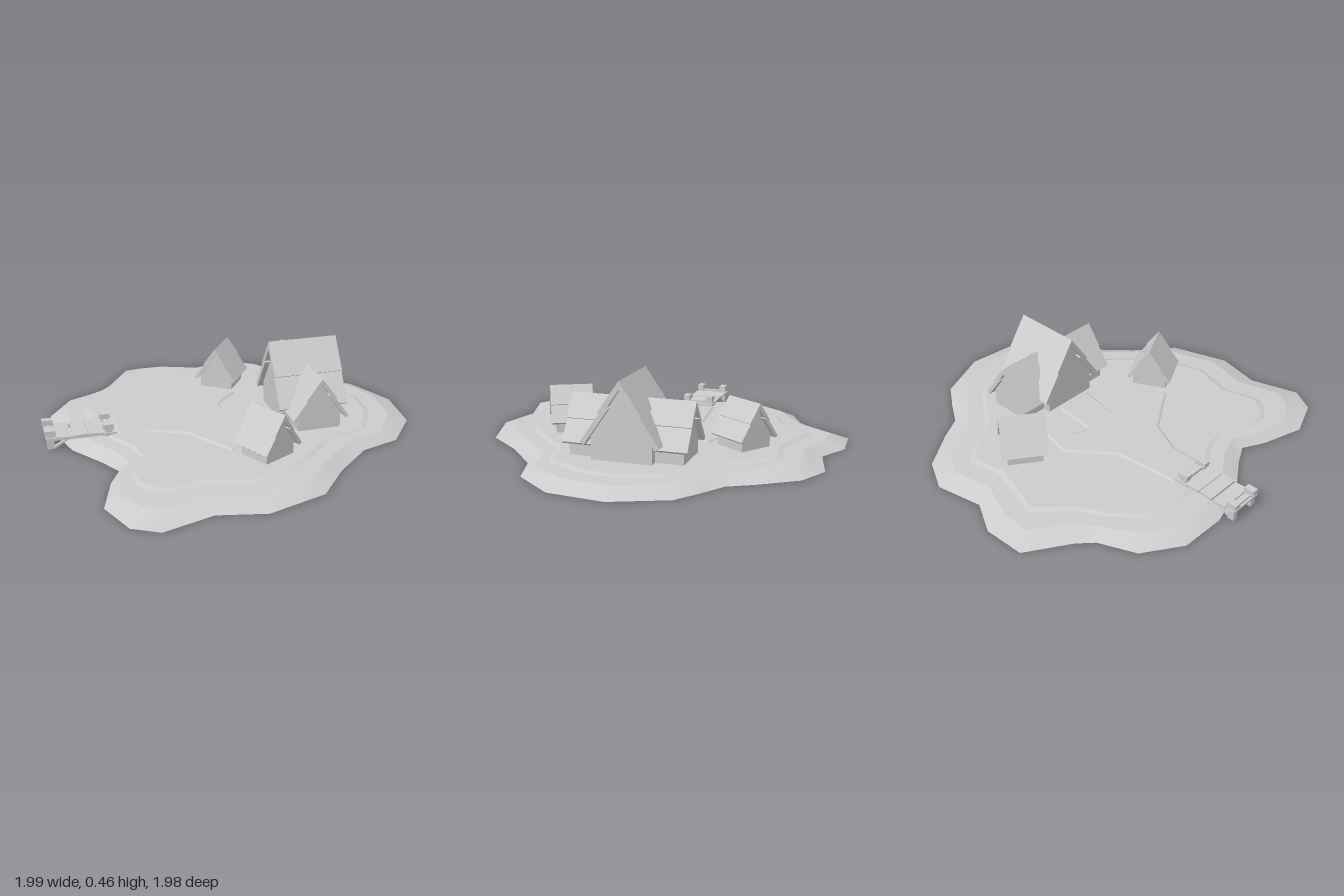
import * as THREE from 'three';

// Shoreline points paired with the foot of the inner terrace: [x, z, innerX, innerZ]
const SHORE = [
  [-.39, -.98, -.25, -.80], [-.17, -.99, -.16, -.77], [0, -.90, .06, -.71], [.25, -.955, .24, -.75],
  [.42, -.87, .30, -.70], [.555, -.675, .39, -.57], [.625, -.55, .46, -.47], [.745, -.475, .56, -.40],
  [.88, -.38, .72, -.27], [1, -.10, .79, -.06], [.97, .20, .77, .13], [.80, .415, .66, .33],
  [.59, .48, .44, .385], [.39, .66, .30, .53], [.225, .86, .14, .67], [-.085, .96, -.09, .74],
  [-.33, .905, -.30, .68], [-.59, .985, -.50, .73], [-.72, .91, -.57, .69], [-.80, .705, -.63, .61],
  [-.73, .475, -.63, .46], [-.67, .36, -.55, .33], [-.73, .25, -.58, .20], [-.86, .06, -.68, .04],
  [-.925, -.16, -.73, -.16], [-.92, -.405, -.74, -.36], [-.79, -.60, -.66, -.46], [-.60, -.685, -.54, -.56],
  [-.53, -.76, -.42, -.62],
];

const PATH = [
  [-.62, -.15], [-.27, -.19], [-.05, -.37], [.13, -.33], [0, -.19], [0, -.14], [.23, -.12], [.23, .095],
  [-.09, .04], [.08, .30], [-.10, .40], [-.27, .14], [-.45, .06], [-.62, .06],
];

const shapeOf = (pts) => new THREE.Shape(pts.map(([x, y]) => new THREE.Vector2(x, y)));

export function createModel() {
  const model = new THREE.Group();
  model.name = 'islandVillage';
  const stone = new THREE.MeshStandardMaterial({ color: 0xcccccc });
  stone.name = 'light grey';

  const add = (parent, name, geometry, x = 0, y = 0, z = 0) => {
    const mesh = new THREE.Mesh(geometry, stone);
    mesh.name = name;
    mesh.position.set(x, y, z);
    parent.add(mesh);
    return mesh;
  };

  // Island: sloping bank, flat shore, terrace step, plateau and underside
  const island = new THREE.Group();
  island.name = 'island';
  model.add(island);
  const ring = (t) => SHORE.map(([x, z, ix, iz]) => [x + (ix - x) * t, z + (iz - z) * t]);
  const levels = [[0, 0], [.5, .04], [1, .043], [1.13, .052]];
  const names = ['bank', 'shore', 'terraceStep'];
  const n = SHORE.length;
  for (let k = 0; k < 3; k++) {
    const pos = [], index = [];
    for (const [t, y] of [levels[k], levels[k + 1]]) ring(t).forEach(([x, z]) => pos.push(x, y, z));
    for (let i = 0; i < n; i++) {
      const j = (i + 1) % n;
      index.push(i, i + n, j, j, i + n, j + n);
    }
    const g = new THREE.BufferGeometry();
    g.setAttribute('position', new THREE.Float32BufferAttribute(pos, 3));
    g.setIndex(index);
    g.computeVertexNormals();
    add(island, names[k], g);
  }
  const flip = ([x, z]) => [x, -z];
  add(island, 'plateau', new THREE.ShapeGeometry(shapeOf(ring(1.13).map(flip))).rotateX(-Math.PI / 2), 0, .052, 0);
  add(island, 'underside', new THREE.ShapeGeometry(shapeOf(ring(0))).rotateX(Math.PI / 2));

  // Raised footpath branching from the dock to each house
  add(island, 'footpath', new THREE.ExtrudeGeometry(shapeOf(PATH.map(flip)), {
    depth: .002, bevelEnabled: true, bevelSegments: 1, bevelSize: .012, bevelThickness: .008, bevelOffset: -.012,
  }).rotateX(-Math.PI / 2), 0, .05, 0);

  // House with a two-tier gable roof; W is half the roof width, L the roof length
  const house = (name, x, z, angle, W, L, ridge, eave, t) => {
    const g = new THREE.Group();
    g.name = name;
    g.position.set(x, 0, z);
    g.rotation.y = angle;
    model.add(g);
    const prism = (part, pts, len) => add(g, part,
      new THREE.ExtrudeGeometry(shapeOf(pts), { depth: len, bevelEnabled: false }).translate(0, 0, -len / 2));
    const H = ridge - eave, u = .55 * W, yu = ridge - .52 * H;
    const m = (ridge - yu) / u, k = Math.hypot(m, 1);
    const dx = t * m / k, dy = t / k, drop = t * k;
    prism('upperRoof', [[0, ridge], [-u, yu], [dx - u, yu - dy], [0, ridge - drop], [u - dx, yu - dy], [u, yu]], L);
    const top = .36 * W, yTop = eave + (W - top) * m;
    for (const s of [-1, 1]) {
      prism('lowerRoof', [[s * top, yTop], [s * W, eave], [s * (W - dx), eave - dy], [s * (top - dx), yTop - dy]], L);
    }
    const b = .77 * W, yb = eave + (W - b) * m - drop * .95;
    prism('walls', [[-b, .045], [b, .045], [b, yb], [0, ridge - drop * .95], [-b, yb]], L - .055);
  };
  house('mainHall', .42, -.02, Math.PI / 2, .205, .385, .46, .145, .025);
  house('crossWing', .418, -.025, 0, .153, .65, .345, .125, .02);
  house('backHut', .10, -.51, -.61, .123, .24, .295, .112, .018);
  house('frontHut', .065, .47, .48, .125, .23, .295, .112, .018);

  // Dock: planks, side beams, capped posts, cross ties and braces
  const dock = new THREE.Group();
  dock.name = 'dock';
  model.add(dock);
  const midZ = -.045;
  [[-.897, .068, -.06], [-.812, .071, .04], [-.732, .069, -.04], [-.66, .062, .03], [-.963, .067, 0]].forEach(([x, y, tilt]) => {
    add(dock, 'plank', new THREE.BoxGeometry(x < -.95 ? .05 : .075, .012, .185), x, y, midZ).rotation.z = tilt;
  });
  for (const z of [-.115, .025]) {
    add(dock, 'sideBeam', new THREE.BoxGeometry(.32, .012, .018), -.815, .058, z);
    add(dock, 'brace', new THREE.BoxGeometry(.11, .012, .014), -.90, .04, z).rotation.z = .5;
    for (const [x, foot] of [[-.965, .012], [-.663, .045]]) {
      add(dock, 'post', new THREE.BoxGeometry(.036, .09 - foot, .03), x, (.09 + foot) / 2, z);
      add(dock, 'postCap', new THREE.BoxGeometry(.056, .026, .036), x, .099, z);
    }
  }
  for (const x of [-.965, -.663]) add(dock, 'crossTie', new THREE.BoxGeometry(.022, .014, .14), x, .076, midZ);

  return model;
}
